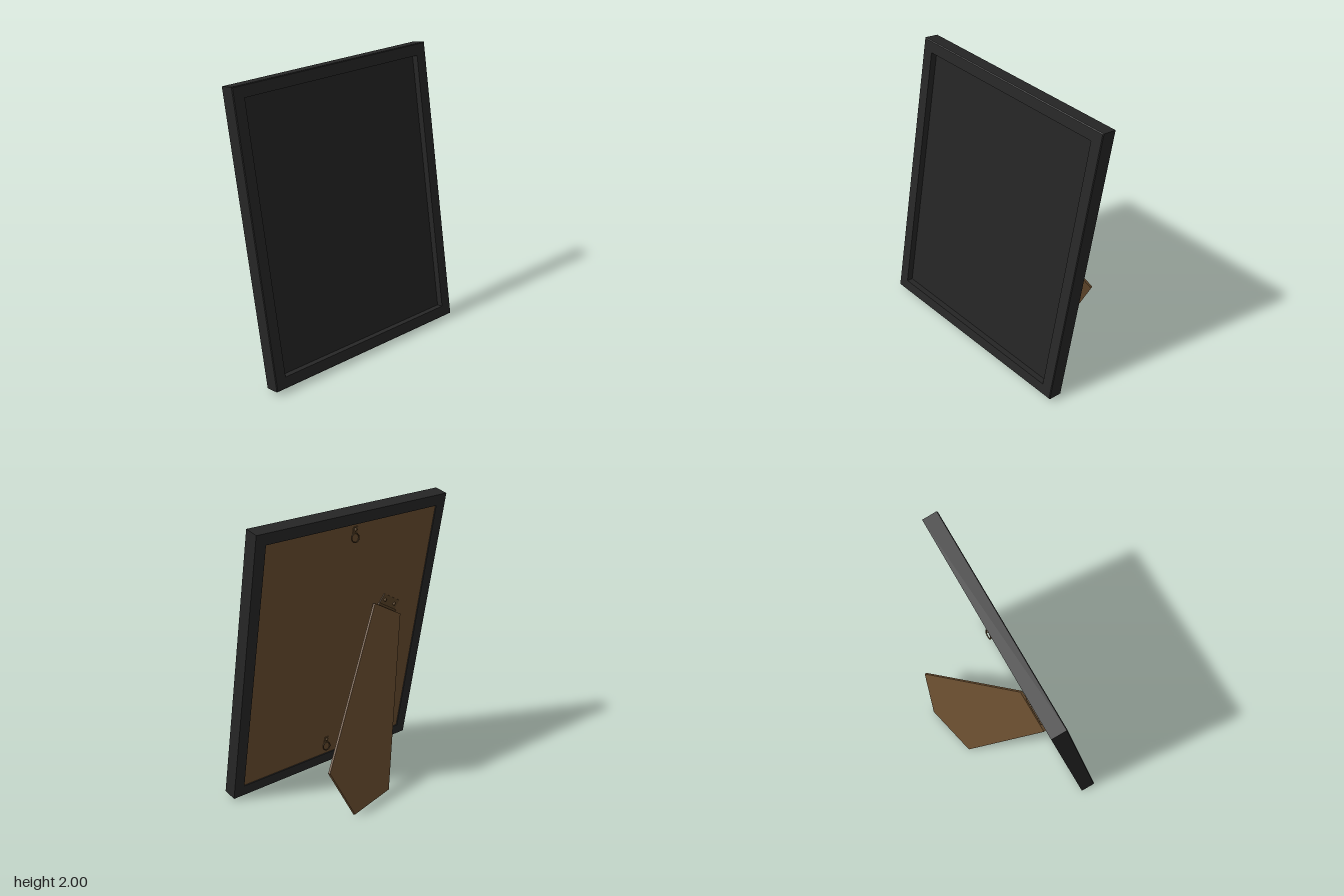
import * as THREE from 'three';

const mat = (name, color) => Object.assign(new THREE.MeshStandardMaterial({ color }), { name });

export function createModel() {
  const frameBlack = mat('frame black', 0x262626);
  const panelBlack = mat('panel black', 0x242424);
  const boardBrown = mat('board brown', 0x694d2f);
  const hardwareBronze = mat('hardware bronze', 0x5c4529);

  const model = new THREE.Group();
  model.name = 'pictureFrame';
  const add = (parent, name, geometry, material, x = 0, y = 0, z = 0) => {
    const mesh = new THREE.Mesh(geometry, material);
    mesh.name = name;
    mesh.position.set(x, y, z);
    parent.add(mesh);
    return mesh;
  };

  // Leaning frame: local y runs up the frame, local z out of its front
  const W = 1.6, H = 2.004, D = 0.108, B = 0.08;
  const frame = new THREE.Group();
  frame.name = 'frame';
  frame.rotation.set(0, Math.PI / 2, 0.19, 'ZYX');
  frame.position.set(0.29, 0.012, 0);
  model.add(frame);

  // Mitred rails: extrude the profile, then shorten it towards the inside
  const profile = new THREE.Shape([[0, 0], [B, 0], [B, D], [0.005, D], [0, D - 0.005]]
    .map(p => new THREE.Vector2(...p)));
  const rail = length => {
    const g = new THREE.ExtrudeGeometry(profile, { depth: 1, bevelEnabled: false });
    const p = g.attributes.position;
    for (let i = 0; i < p.count; i++) {
      const d = p.getX(i), h = p.getY(i), t = p.getZ(i);
      p.setXYZ(i, (t - 0.5) * (length - 2 * d), d, h);
    }
    g.computeVertexNormals();
    return g;
  };
  [['bottomRail', W, 0, 0, 0], ['rightRail', H, W / 2, H / 2, 1],
    ['topRail', W, 0, H, 2], ['leftRail', H, -W / 2, H / 2, 3]].forEach(([name, len, x, y, turn]) => {
    add(frame, name, rail(len), frameBlack, x, y).rotation.z = turn * Math.PI / 2;
  });

  // Recessed picture panel and backing board
  const inW = W - 2 * B + 0.004, inH = H - 2 * B + 0.004;
  add(frame, 'picturePanel', new THREE.BoxGeometry(inW, inH, 0.02), panelBlack, 0, H / 2, 0.052);
  add(frame, 'backBoard', new THREE.BoxGeometry(inW, inH, 0.034), boardBrown, 0, H / 2, 0.025);

  // Wall hangers: screwed tab with a hanging ring
  for (const [name, y] of [['topHanger', 1.85], ['bottomHanger', 0.175]]) {
    const hanger = new THREE.Group();
    hanger.name = name;
    hanger.position.set(0, y, 0.006);
    frame.add(hanger);
    add(hanger, 'tab', new THREE.BoxGeometry(0.035, 0.06, 0.006), hardwareBronze, 0, 0.025, 0);
    add(hanger, 'screw', new THREE.SphereGeometry(0.012, 12, 8), hardwareBronze, 0, 0.035, -0.002);
    add(hanger, 'ring', new THREE.TorusGeometry(0.03, 0.004, 8, 24), hardwareBronze, 0, -0.02, -0.012)
      .rotation.x = 0.3;
  }

  // Hinge set at an angle above the leg
  const hinge = new THREE.Group();
  hinge.name = 'hinge';
  hinge.position.set(-0.395, 1.207, 0);
  hinge.rotation.z = Math.PI / 6;
  frame.add(hinge);
  add(hinge, 'hingePlate', new THREE.BoxGeometry(0.18, 0.08, 0.006), hardwareBronze, 0, 0.045, 0.005);
  add(hinge, 'hingeBarrel', new THREE.CylinderGeometry(0.008, 0.008, 0.2, 12), hardwareBronze, 0, 0.006, -0.002)
    .rotation.z = Math.PI / 2;
  for (const s of [-1, 1]) {
    add(hinge, 'hingeScrew', new THREE.SphereGeometry(0.012, 12, 8), hardwareBronze, s * 0.055, 0.048, 0.001);
  }

  // Easel leg: flat pentagon swung out from the hinge
  const corners = [[0.03, 1.27, 0.26], [0.06, 1.12, 0.53], [-0.298, 0.006, 0.105],
    [-0.4, 0.006, -0.29], [-0.367, 0.37, -0.47]].map(c => new THREE.Vector3(...c));
  const origin = corners[0].clone().add(corners[1]).multiplyScalar(0.5);
  const down = corners[3].clone().sub(origin).normalize();
  const across = corners[0].clone().sub(corners[1]);
  across.addScaledVector(down, -across.dot(down)).normalize();
  const normal = across.clone().cross(down);
  const outline = new THREE.Shape(corners.map(c => {
    const r = c.clone().sub(origin);
    return new THREE.Vector2(r.dot(across), r.dot(down));
  }));
  const leg = new THREE.ExtrudeGeometry(outline, { depth: 0.016, bevelEnabled: false });
  leg.translate(0, 0, -0.016);
  leg.applyMatrix4(new THREE.Matrix4().makeBasis(across, down, normal).setPosition(origin));
  add(model, 'easelLeg', leg, boardBrown);

  return model;
}
